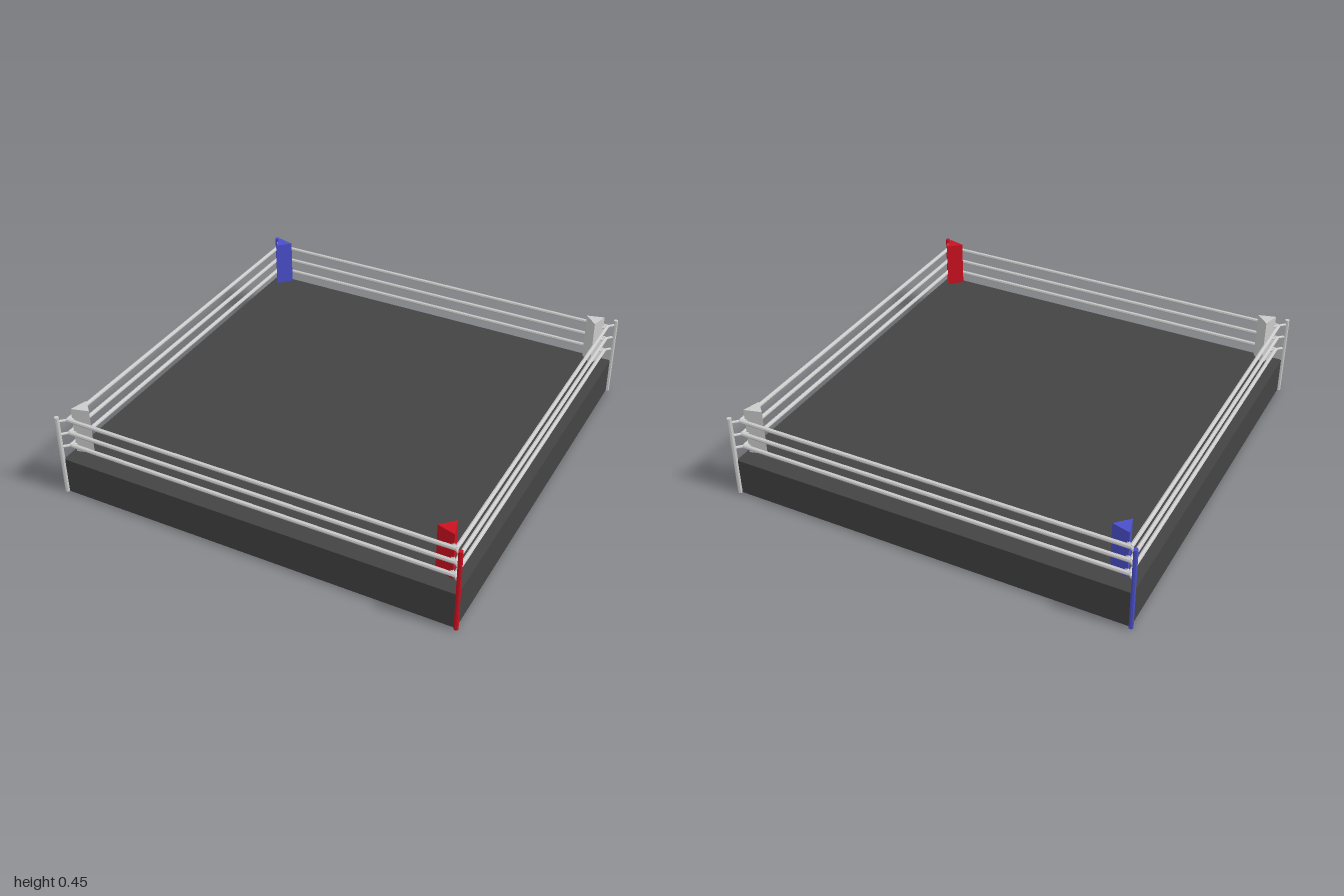
import * as THREE from 'three';

const material = (color) => new THREE.MeshStandardMaterial({ color, flatShading: true });
const grey = material(0xcccccc);
const red = material(0xcc1020);
const blue = material(0x4a50cc);
const dark = material(0x444444);

const POST = 0.989;   // post distance from centre lines
const ROPE = 0.956;   // rope distance from centre lines
const ROPE_HEIGHTS = [0.254, 0.323, 0.394];

function add(group, name, geometry, mat) {
  const mesh = new THREE.Mesh(geometry, mat);
  mesh.name = name;
  group.add(mesh);
  return mesh;
}

// Straight round bar between two points
function bar(group, name, a, b, radius, mat) {
  const dir = b.clone().sub(a);
  const mesh = add(group, name, new THREE.CylinderGeometry(radius, radius, dir.length(), 8), mat);
  mesh.position.copy(a).add(b).multiplyScalar(0.5);
  mesh.quaternion.setFromUnitVectors(new THREE.Vector3(0, 1, 0), dir.normalize());
}

// Corner: post, triangular pad and the ties that hold the ropes
function corner(sx, sz, mat) {
  const group = new THREE.Group();
  group.name = 'corner';
  const at = (d, y) => new THREE.Vector3(sx * d, y, sz * d);

  bar(group, 'post', at(POST, 0), at(POST, 0.42), 0.011, mat);

  // Prism with one edge pointing out to the post and a flat face inward
  const pad = add(group, 'cornerPad', new THREE.CylinderGeometry(0.051, 0.051, 0.235, 3), mat);
  pad.position.copy(at(0.905, 0.333));
  pad.rotation.y = Math.atan2(sx, sz);

  for (const y of ROPE_HEIGHTS) bar(group, 'ropeTie', at(POST, y), at(0.93, y), 0.007, grey);
  return group;
}

export function createModel() {
  const model = new THREE.Group();
  model.name = 'ring';

  // Solid platform
  const platform = add(model, 'platform', new THREE.BoxGeometry(1.972, 0.183, 1.972), dark);
  platform.position.y = 0.0915;

  // Two coloured corners opposite each other, two neutral ones
  model.add(corner(1, 1, red), corner(-1, -1, blue), corner(1, -1, grey), corner(-1, 1, grey));

  // Three ropes along each side
  for (let side = 0; side < 4; side++) {
    const ropes = new THREE.Group();
    ropes.name = 'sideRopes';
    ropes.rotation.y = side * Math.PI / 2;
    for (const y of ROPE_HEIGHTS) {
      bar(ropes, 'rope', new THREE.Vector3(-ROPE, y, ROPE), new THREE.Vector3(ROPE, y, ROPE), 0.01, grey);
    }
    model.add(ropes);
  }
  return model;
}
